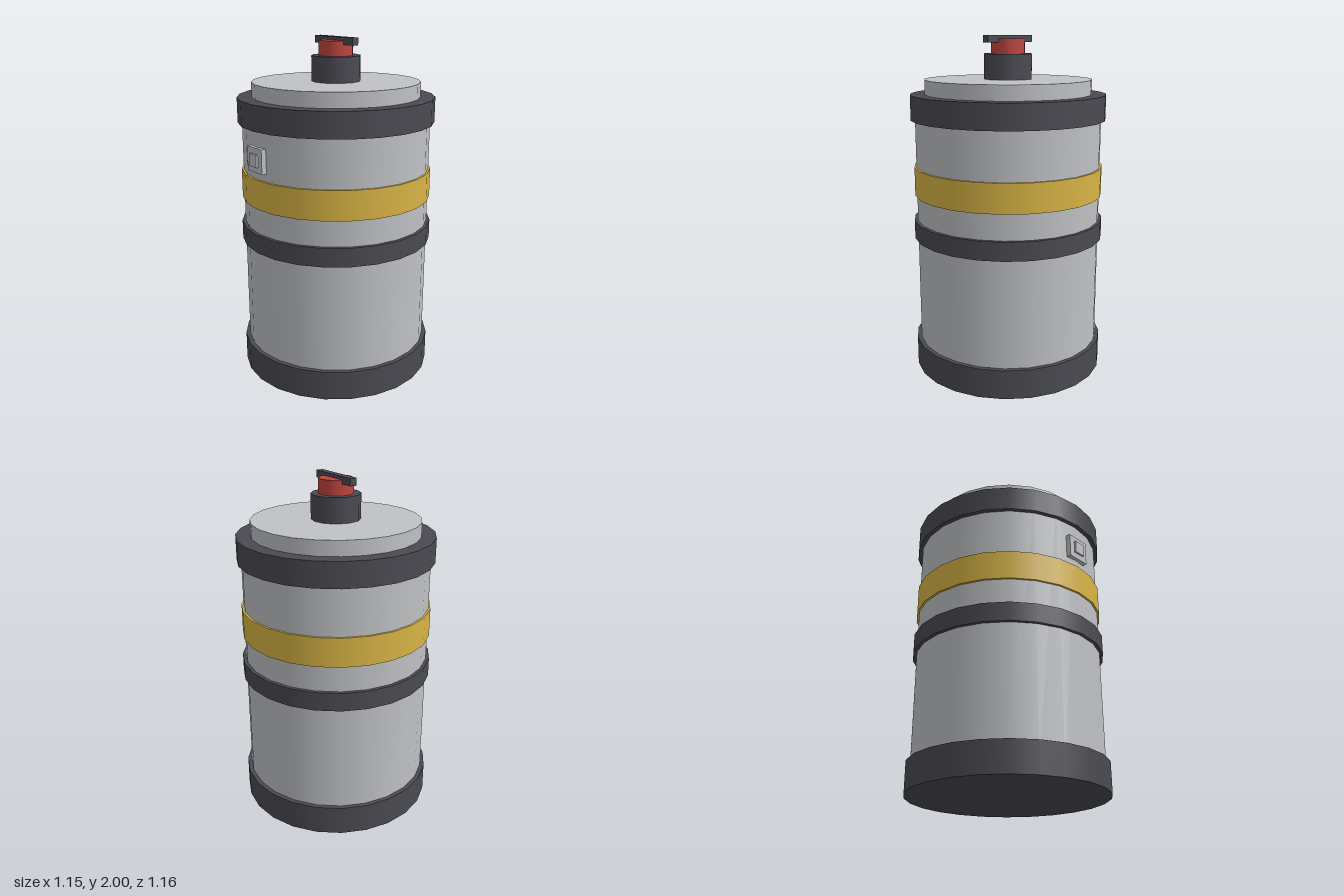
import * as THREE from 'three';

const material = (name, color) => {
  const m = new THREE.MeshStandardMaterial({ color });
  m.name = name;
  return m;
};

export function createModel() {
  const grey = material('light grey metal', 0xbfc1c4);
  const dark = material('dark rubber', 0x4a4a52);
  const yellow = material('yellow band', 0xd8b445);
  const red = material('red valve', 0xc0453e);

  const model = new THREE.Group();
  model.name = 'canister';
  const axisZ = -0.003;

  const add = (name, geometry, mat, x, y, z) => {
    const mesh = new THREE.Mesh(geometry, mat);
    mesh.name = name;
    mesh.position.set(x, y, z);
    model.add(mesh);
  };

  // Round parts stacked on the vertical axis: name, radius, bottom, top, sides, material
  const rounds = [
    ['body', 0.55, 0.02, 1.64, 24, grey],
    ['baseRing', 0.575, 0, 0.175, 24, dark],
    ['middleRing', 0.57, 0.815, 0.925, 24, dark],
    ['colourBand', 0.562, 1.075, 1.245, 24, yellow],
    ['topRing', 0.575, 1.52, 1.665, 24, dark],
    ['lid', 0.49, 1.64, 1.75, 24, grey],
    ['neck', 0.143, 1.74, 1.895, 12, dark],
    ['valve', 0.1, 1.88, 1.98, 12, red],
  ];
  for (const [name, r, y0, y1, sides, mat] of rounds) {
    add(name, new THREE.CylinderGeometry(r, r, y1 - y0, sides), mat, 0, (y0 + y1) / 2, axisZ);
  }

  // Bar across the valve
  add('valveHandle', new THREE.BoxGeometry(0.344, 0.042, 0.042), dark, 0, 1.979, axisZ);

  // Square latch on the front
  add('latchPlate', new THREE.BoxGeometry(0.144, 0.14, 0.04), grey, 0, 1.36, 0.546);
  add('latchButton', new THREE.BoxGeometry(0.07, 0.072, 0.03), grey, 0, 1.36, 0.563);

  return model;
}
